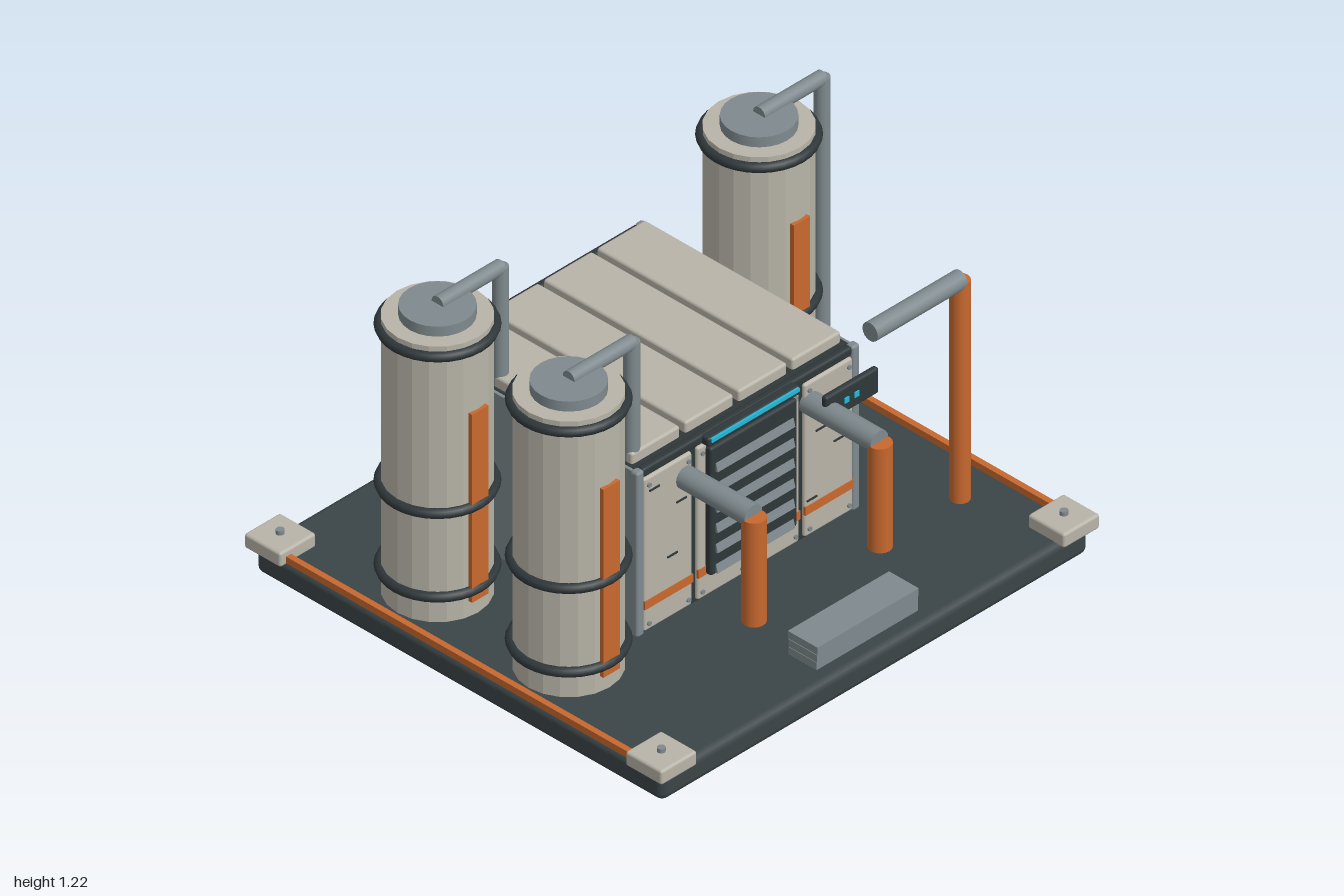
import * as THREE from 'three';
import { RoundedBoxGeometry } from 'three/addons/geometries/RoundedBoxGeometry.js';

const paint = (color, flatShading = false) => new THREE.MeshStandardMaterial({ color, flatShading });
const BEIGE = paint(0xb8b4a8), TANK = paint(0xb8b4a8, true), DARK = paint(0x2f373a), BASE = paint(0x3b4447),
  GREY = paint(0x7f8a8e), ORANGE = paint(0xc8682e), CYAN = paint(0x22b8d8);

function add(parent, name, geometry, material, x, y, z) {
  const mesh = new THREE.Mesh(geometry, material);
  mesh.name = name;
  mesh.position.set(x, y, z);
  parent.add(mesh);
  return mesh;
}

const box = (p, name, m, w, h, d, x, y, z) => add(p, name, new THREE.BoxGeometry(w, h, d), m, x, y, z);
const soft = (p, name, m, w, h, d, x, y, z, r = 0.01) =>
  add(p, name, new RoundedBoxGeometry(w, h, d, 2, r), m, x, y, z);

// Straight round pipe between two points
function pipe(p, name, m, r, a, b) {
  const from = new THREE.Vector3(...a), to = new THREE.Vector3(...b);
  const mid = from.clone().add(to).multiplyScalar(0.5);
  const mesh = add(p, name, new THREE.CylinderGeometry(r, r, from.distanceTo(to), 16), m, mid.x, mid.y, mid.z);
  mesh.quaternion.setFromUnitVectors(new THREE.Vector3(0, 1, 0), to.sub(from).normalize());
  return mesh;
}

function group(parent, name, x = 0, y = 0, z = 0) {
  const g = new THREE.Group();
  g.name = name;
  g.position.set(x, y, z);
  parent.add(g);
  return g;
}

function buildBase(root) {
  const g = group(root, 'base', -0.022);
  soft(g, 'slab', BASE, 1.9, 0.1, 1.785, 0, 0.05, 0, 0.028);
  for (const sx of [-1, 1]) {
    box(g, 'edgeStrip', ORANGE, 0.022, 0.025, 1.55, sx * 0.938, 0.112, 0);
    for (const sz of [-1, 1]) {
      soft(g, 'cornerBlock', BEIGE, 0.16, 0.055, 0.16, sx * 0.895, 0.12, sz * 0.835);
      pipe(g, 'cornerBolt', GREY, 0.014, [sx * 0.895, 0.14, sz * 0.835], [sx * 0.895, 0.163, sz * 0.835]);
    }
  }
}

function buildTank(root, x, z) {
  const g = group(root, 'tank', x, 0, z);
  add(g, 'tankBody', new THREE.CylinderGeometry(0.178, 0.178, 1.055, 20), TANK, 0, 0.6275, 0);
  add(g, 'tankCap', new THREE.CylinderGeometry(0.123, 0.123, 0.04, 24), GREY, 0, 1.173, 0);
  for (const y of [0.2, 0.52, 1.12]) {
    const ring = add(g, 'tankRing', new THREE.TorusGeometry(0.182, 0.018, 8, 32), DARK, 0, y, 0);
    ring.rotation.x = Math.PI / 2;
  }
  box(g, 'tankStripe', ORANGE, 0.073, 0.72, 0.02, 0, 0.52, 0.178);
  // Outlet pipe over the top and down the side
  pipe(g, 'outletPipe', GREY, 0.026, [0, 1.195, 0], [0.28, 1.195, 0]);
  pipe(g, 'downPipe', GREY, 0.027, [0.28, 0.24, 0], [0.28, 1.198, 0]);
}

function buildHousing(root) {
  const g = group(root, 'housing', -0.022, 0, -0.142);
  box(g, 'core', DARK, 0.95, 0.625, 0.93, 0, 0.437, 0);
  for (const sx of [-1, 1]) {
    box(g, 'sidePlate', GREY, 0.02, 0.62, 0.92, sx * 0.477, 0.437, 0);
    for (const sz of [-1, 1])
      soft(g, 'cornerPost', GREY, 0.034, 0.63, 0.034, sx * 0.479, 0.44, sz * 0.462);
  }

  // Four roof, front and back panels
  for (let i = 0; i < 4; i++) {
    const x = (i - 1.5) * 0.238;
    soft(g, 'roofPanel', BEIGE, 0.215, 0.05, 0.86, x, 0.765, -0.005);
    for (const s of [-1, 1]) {
      soft(g, s > 0 ? 'frontPanel' : 'backPanel', BEIGE, 0.215, 0.585, 0.024, x, 0.425, s * 0.466);
      box(g, 'panelStripe', ORANGE, 0.215, 0.032, 0.008, x, 0.235, s * 0.477);
      for (const bx of [-0.088, 0.088]) for (const y of [0.16, 0.69])
        pipe(g, 'panelBolt', GREY, 0.008, [x + bx, y, s * 0.474], [x + bx, y, s * 0.485]);
    }
  }
  // Beams along the roof edges
  for (const s of [-1, 1]) soft(g, 'roofBeam', DARK, 0.93, 0.035, 0.03, 0, 0.738, s * 0.46);

  // Louvred vent with a light bar above
  soft(g, 'ventFrame', DARK, 0.385, 0.49, 0.03, 0, 0.465, 0.488);
  for (let i = 0; i < 6; i++) {
    const slat = box(g, 'ventSlat', GREY, 0.345, 0.032, 0.012, 0, 0.63 - i * 0.0775, 0.503);
    slat.rotation.x = -0.25;
  }
  soft(g, 'lightBarMount', DARK, 0.41, 0.035, 0.04, 0, 0.737, 0.485);
  box(g, 'lightBar', CYAN, 0.39, 0.014, 0.01, 0, 0.745, 0.505);

  // Small marks on the outer front panels
  for (const [x, y] of [[-0.42, 0.665], [-0.34, 0.37], [-0.3, 0.56], [0.28, 0.27], [0.4, 0.44], [0.32, 0.52]])
    box(g, 'panelMark', DARK, 0.045, 0.006, 0.006, x, y, 0.479);
}

function buildControls(root) {
  const front = group(root, 'frontControl', 0.352, 0.66, 0.412);
  soft(front, 'controlPlate', DARK, 0.236, 0.098, 0.025, 0, 0, 0);
  for (const x of [-0.03, 0.015]) box(front, 'indicator', CYAN, 0.02, 0.02, 0.008, x, 0, 0.013);

  const side = group(root, 'sideControl', 0.497, 0.398, 0.12);
  soft(side, 'controlBox', DARK, 0.06, 0.275, 0.192, 0, 0, 0, 0.014);
  box(side, 'screen', CYAN, 0.01, 0.08, 0.125, 0.028, 0.062, 0);
  for (const y of [-0.01, -0.04, -0.07]) box(side, 'screenLine', GREY, 0.006, 0.007, 0.13, 0.029, y, 0);
}

function buildPipes(root) {
  const g = group(root, 'frontPipes');
  for (const x of [-0.305, 0.255]) {
    pipe(g, 'feedPipe', GREY, 0.04, [x, 0.638, 0.32], [x, 0.638, 0.635]);
    pipe(g, 'feedRiser', ORANGE, 0.041, [x, 0.24, 0.638], [x, 0.638, 0.638]);
  }
  pipe(g, 'tallPipeArm', GREY, 0.034, [0.255, 1.038, 0.595], [0.655, 1.038, 0.595]);
  pipe(g, 'tallPipe', ORANGE, 0.034, [0.655, 0.2, 0.595], [0.655, 1.038, 0.595]);
}

export function createModel() {
  const root = new THREE.Group();
  root.name = 'processingPlant';
  buildBase(root);
  for (const [x, z] of [[-0.74, -0.32], [-0.74, 0.255], [0.69, -0.32]]) buildTank(root, x, z);
  buildHousing(root);
  buildControls(root);
  buildPipes(root);
  // Stacked step in front of the vent
  const step = group(root, 'step', -0.023, 0, 0.795);
  for (let i = 0; i < 3; i++)
    box(step, 'stepSlat', GREY, 0.45, 0.028, 0.122 + i * 0.004, 0, 0.142 + i * 0.03, 0);
  return root;
}
